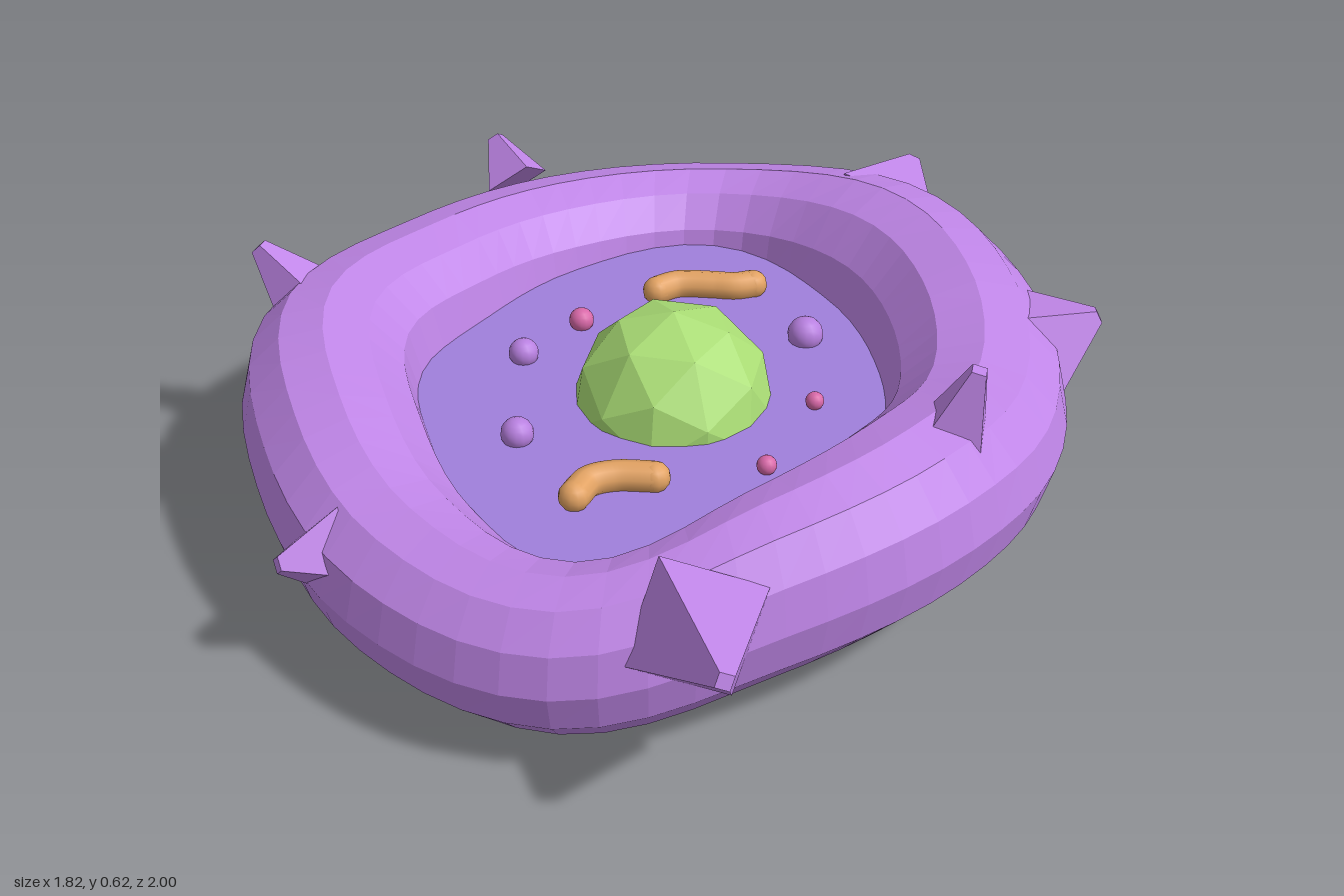
import * as THREE from 'three';

const V = (x, y, z) => new THREE.Vector3(x, y, z);
const mat = (color, flatShading = false) => new THREE.MeshStandardMaterial({ color, flatShading });

// Membrane stations every 30 degrees, from +x towards +z:
// [inner radius, outer radius, centre height, half height]
const STATIONS = [
  [0.49, 0.86, 0.295, 0.19], [0.48, 0.82, 0.325, 0.195], [0.50, 0.80, 0.29, 0.19],
  [0.58, 0.87, 0.215, 0.17], [0.50, 0.85, 0.21, 0.17], [0.47, 0.84, 0.25, 0.185],
  [0.51, 0.89, 0.29, 0.19], [0.50, 0.85, 0.28, 0.185], [0.57, 0.92, 0.25, 0.185],
  [0.67, 1.00, 0.235, 0.185], [0.58, 1.00, 0.275, 0.215], [0.51, 0.91, 0.29, 0.215],
];
const closed = (pts) => new THREE.CatmullRomCurve3(pts, true, 'catmullrom', 0.5);
const radii = closed(STATIONS.map(([a, b]) => V((a + b) / 2, (b - a) / 2, 0)));
const heights = closed(STATIONS.map(([, , y, h]) => V(y, h, 0)));

// Closed wavy ring with an elliptical section
function ringGeometry(segments, sides) {
  const pos = [], index = [];
  for (let i = 0; i < segments; i++) {
    const t = i / segments, a = t * Math.PI * 2;
    const r = radii.getPoint(t), h = heights.getPoint(t);
    for (let j = 0; j < sides; j++) {
      const p = (j / sides) * Math.PI * 2;
      const d = r.x + Math.cos(p) * r.y;
      pos.push(Math.cos(a) * d, h.x + Math.sin(p) * h.y, Math.sin(a) * d);
      const i2 = (i + 1) % segments, j2 = (j + 1) % sides;
      const A = i * sides + j, B = i * sides + j2, C = i2 * sides + j2, D = i2 * sides + j;
      index.push(A, B, D, B, C, D);
    }
  }
  const g = new THREE.BufferGeometry();
  g.setAttribute('position', new THREE.Float32BufferAttribute(pos, 3));
  g.setIndex(index);
  g.computeVertexNormals();
  return g;
}

export function createModel() {
  const model = new THREE.Group();
  const add = (name, geometry, material, parent = model) => {
    const m = new THREE.Mesh(geometry, material);
    m.name = name;
    parent.add(m);
    return m;
  };
  const group = (name) => {
    const g = new THREE.Group();
    g.name = name;
    model.add(g);
    return g;
  };
  const purple = mat(0xc086e8, true);
  const floorBottom = 0.195, floorTop = 0.29;

  add('membrane', ringGeometry(60, 12), purple);

  // Flat inner slab, its rim hidden inside the membrane
  const outline = [];
  for (let i = 0; i < 60; i++) {
    const a = (i / 60) * Math.PI * 2, r = radii.getPoint(i / 60).x;
    outline.push(new THREE.Vector2(Math.cos(a) * r, -Math.sin(a) * r));
  }
  const slab = add('cytoplasm', new THREE.ExtrudeGeometry(new THREE.Shape(outline),
    { depth: floorTop - floorBottom, bevelEnabled: false }), mat(0xa080dc));
  slab.rotation.x = -Math.PI / 2;
  slab.position.y = floorBottom;

  // Faceted nucleus
  const nucleus = add('nucleus', new THREE.IcosahedronGeometry(0.24, 1), mat(0xaadd75, true));
  nucleus.position.set(0.035, 0.245, -0.05);
  nucleus.scale.set(0.93, 1, 0.95);

  // Blunt four-sided spikes: base centre, tip, base radius
  const spikes = group('spikes');
  [
    [V(0.385, 0.335, -0.82), V(0.44, 0.42, -0.985), 0.165],
    [V(0.77, 0.355, -0.29), V(0.905, 0.43, -0.32), 0.155],
    [V(0.645, 0.47, 0.245), V(0.68, 0.62, 0.25), 0.08],
    [V(0.245, 0.335, 0.75), V(0.34, 0.43, 0.985), 0.15],
    [V(-0.49, 0.265, 0.60), V(-0.575, 0.28, 0.685), 0.1],
    [V(-0.80, 0.40, -0.08), V(-0.90, 0.505, -0.09), 0.08],
    [V(-0.485, 0.41, -0.685), V(-0.555, 0.49, -0.745), 0.08],
  ].forEach(([base, tip, r]) => {
    const axis = tip.clone().sub(base);
    const cone = new THREE.CylinderGeometry(0.02, r, axis.length(), 4, 1, false, Math.PI / 4);
    const s = add('spike', cone, purple, spikes);
    s.position.copy(base).add(tip).multiplyScalar(0.5);
    s.quaternion.setFromUnitVectors(V(0, 1, 0), axis.normalize());
  });

  // Bent rods with rounded ends
  const rods = group('mitochondria');
  const orange = mat(0xe2a262);
  const rodRadius = 0.033;
  [
    [[-0.08, -0.415], [-0.04, -0.45], [0.04, -0.465], [0.09, -0.47], [0.13, -0.49]],
    [[-0.07, 0.39], [-0.055, 0.34], [-0.01, 0.31], [0.07, 0.295]],
  ].forEach((path) => {
    const pts = path.map(([x, z]) => V(x, floorTop + 0.02, z));
    add('mitochondrion', new THREE.TubeGeometry(new THREE.CatmullRomCurve3(pts), 20, rodRadius, 10), orange, rods);
    [pts[0], pts[pts.length - 1]].forEach((p) => {
      add('mitochondrionEnd', new THREE.SphereGeometry(rodRadius, 12, 8), orange, rods).position.copy(p);
    });
  });

  // Small round vesicles: x, z, radius, material
  const vesicles = group('vesicles');
  const lilac = mat(0xb880e0), pink = mat(0xd868a8);
  [
    [0.28, -0.31, 0.04, lilac], [-0.31, -0.10, 0.033, lilac], [-0.24, 0.20, 0.035, lilac],
    [-0.22, -0.26, 0.028, pink], [0.34, -0.05, 0.02, pink], [0.28, 0.20, 0.021, pink],
  ].forEach(([x, z, r, m]) => {
    add('vesicle', new THREE.SphereGeometry(r, 14, 10), m, vesicles).position.set(x, floorTop + 0.015, z);
  });

  return model;
}
